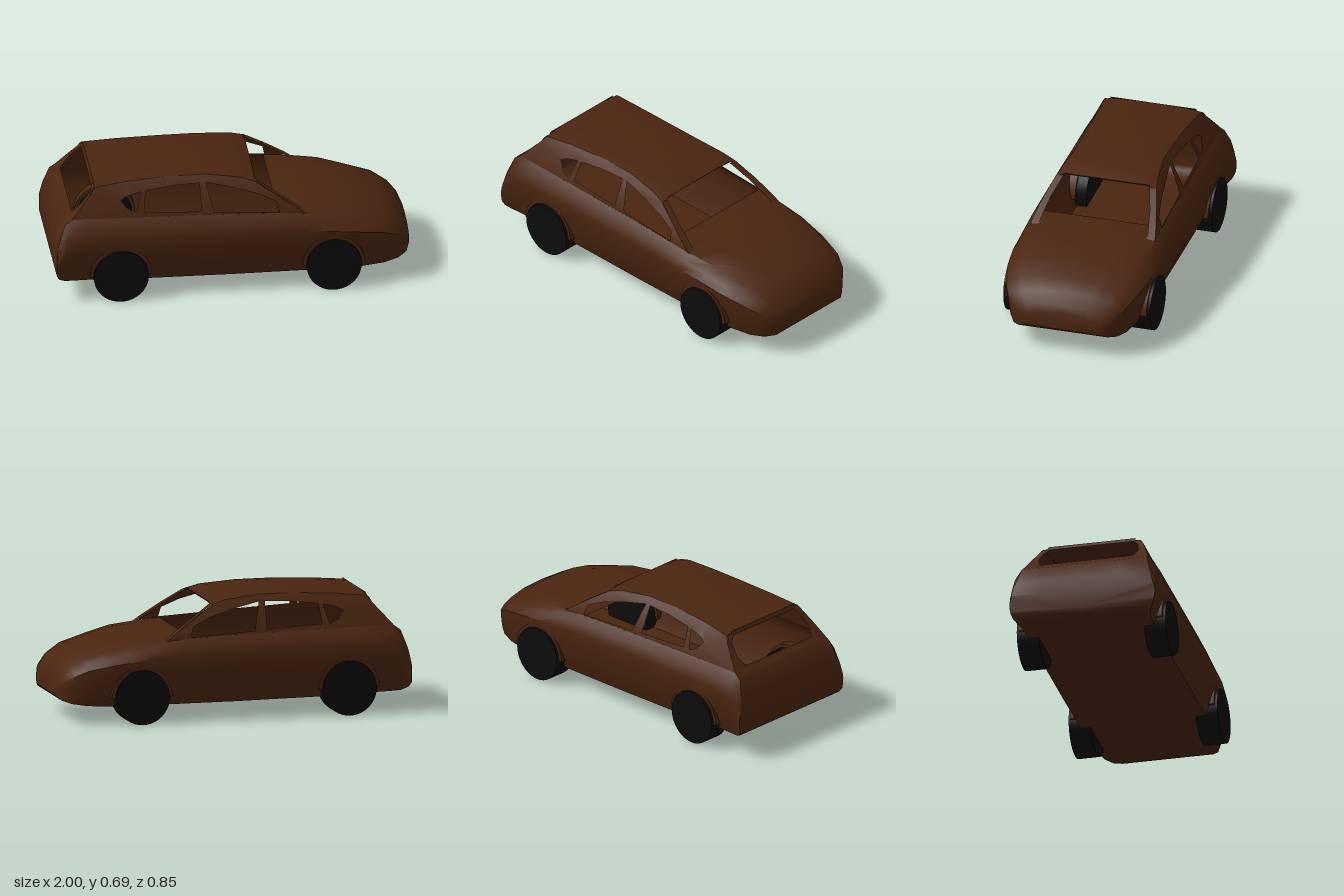
import * as THREE from 'three';
import { toCreasedNormals } from 'three/addons/utils/BufferGeometryUtils.js';

const paint = new THREE.MeshStandardMaterial({ color: 0x4a2510, side: THREE.DoubleSide });
paint.name = 'brown paint';
const rubber = new THREE.MeshStandardMaterial({ color: 0x0c0c0c });
rubber.name = 'black rubber';

// Lower body stations: x, bottom y, bottom z, widest y, widest z, belt y, belt z, centre top y
const STATIONS = [
  [-1.0, 0.17, 0.41, 0.23, 0.418, 0.28, 0.405, 0.28],
  [-0.985, 0.145, 0.4, 0.27, 0.418, 0.36, 0.385, 0.36],
  [-0.95, 0.125, 0.38, 0.33, 0.418, 0.46, 0.36, 0.46],
  [-0.91, 0.12, 0.37, 0.36, 0.418, 0.49, 0.355, 0.49],
  [-0.8, 0.115, 0.36, 0.38, 0.418, 0.49, 0.355, 0.49],
  [-0.5, 0.105, 0.36, 0.38, 0.418, 0.485, 0.356, 0.485],
  [0.0, 0.1, 0.36, 0.38, 0.418, 0.475, 0.358, 0.475],
  [0.25, 0.1, 0.36, 0.375, 0.418, 0.466, 0.36, 0.466],
  [0.4, 0.1, 0.36, 0.37, 0.418, 0.455, 0.355, 0.475],
  [0.55, 0.1, 0.36, 0.36, 0.418, 0.44, 0.34, 0.465],
  [0.7, 0.1, 0.355, 0.34, 0.405, 0.405, 0.31, 0.435],
  [0.85, 0.105, 0.33, 0.31, 0.37, 0.365, 0.28, 0.395],
  [0.93, 0.115, 0.3, 0.27, 0.33, 0.32, 0.25, 0.35],
  [0.98, 0.13, 0.26, 0.23, 0.275, 0.27, 0.21, 0.29],
  [1.0, 0.15, 0.2, 0.19, 0.22, 0.22, 0.2, 0.25],
];
const CABIN = [-0.91, 0.25]; // open top of the lower body

// Half width of the cabin sides at height y
const SIDE = [[0.45, 0.362], [0.49, 0.355], [0.55, 0.332], [0.61, 0.306], [0.655, 0.28], [0.68, 0.252]];
function sideZ(y) {
  for (let i = 1; i < SIDE.length; i++) {
    const [y0, z0] = SIDE[i - 1], [y1, z1] = SIDE[i];
    if (y <= y1) return z0 + (z1 - z0) * Math.max(0, (y - y0) / (y1 - y0));
  }
  return SIDE[SIDE.length - 1][1];
}

// Surface through rows of points, leaving out cells where skip(i, j) is true
function sheet(rows, skip = () => false, caps = false) {
  const pos = [];
  const tri = (a, b, c) => pos.push(...a, ...b, ...c);
  for (let i = 0; i < rows.length - 1; i++)
    for (let j = 0; j < rows[i].length - 1; j++) {
      if (skip(i, j)) continue;
      const a = rows[i][j], b = rows[i + 1][j], c = rows[i + 1][j + 1], d = rows[i][j + 1];
      tri(a, b, c);
      tri(a, c, d);
    }
  if (caps)
    for (const [row, front] of [[rows[0], false], [rows[rows.length - 1], true]])
      for (let j = 1; j < row.length - 1; j++)
        front ? tri(row[0], row[j + 1], row[j]) : tri(row[0], row[j], row[j + 1]);
  const g = new THREE.BufferGeometry();
  g.setAttribute('position', new THREE.Float32BufferAttribute(pos, 3));
  return toCreasedNormals(g, 0.6);
}

function add(group, name, geometry, material = paint) {
  const m = new THREE.Mesh(geometry, material);
  m.name = name;
  group.add(m);
  return m;
}

// Closed ring of one body station, from bottom centre round to bottom centre
function bodyRing([x, yb, zb, ys, zw, yt, zt, yc]) {
  const half = [
    [0, yb], [zb, yb], [zb + (zw - zb) * 0.55, yb + (ys - yb) * 0.3],
    [zb + (zw - zb) * 0.9, yb + (ys - yb) * 0.72], [zw, ys],
    [zt + (zw - zt) * 0.66, ys + (yt - ys) * 0.55], [zt, yt], [zt * 0.6, yt + (yc - yt) * 0.75], [0, yc],
  ];
  const mirrored = half.slice(0, -1).reverse().map(([z, y]) => [-z, y]);
  return [...half, ...mirrored].map(([z, y]) => [x, y, z]);
}

// Cabin side panel with three window openings, bent to the tumblehome
function sidePanel(s) {
  const v = (list) => list.map(([x, y]) => new THREE.Vector2(x, y));
  const shape = new THREE.Shape(v([
    [-0.91, 0.49], [-0.8, 0.49], [-0.5, 0.485], [0, 0.475], [0.25, 0.466], [0.4, 0.455],
    [0.37, 0.478], [0.25, 0.56], [0.13, 0.635], [0.05, 0.66], [-0.15, 0.68], [-0.35, 0.68],
    [-0.6, 0.668], [-0.775, 0.65], [-0.8, 0.615],
  ]));
  const windows = [
    [[-0.63, 0.578], [-0.6, 0.597], [-0.515, 0.617], [-0.545, 0.512], [-0.595, 0.535]],
    [[-0.49, 0.62], [-0.34, 0.638], [-0.185, 0.645], [-0.182, 0.497], [-0.5, 0.513]],
    [[-0.15, 0.645], [-0.016, 0.617], [0.145, 0.572], [0.245, 0.527], [0.257, 0.471], [-0.11, 0.492]],
  ];
  for (const w of windows) shape.holes.push(new THREE.Path(v(w)));
  const g = new THREE.ShapeGeometry(shape);
  const p = g.attributes.position;
  for (let i = 0; i < p.count; i++) p.setZ(i, s * sideZ(p.getY(i)));
  if (s < 0) g.setIndex(Array.from(g.index.array).reverse());
  return toCreasedNormals(g.toNonIndexed(), 0.6);
}

export function createModel() {
  const car = new THREE.Group();
  car.name = 'hatchback';

  // Lower body, open above the cabin
  const inCabin = (i) => STATIONS[i][0] >= CABIN[0] && STATIONS[i + 1][0] <= CABIN[1];
  add(car, 'lowerBody', sheet(STATIONS.map(bodyRing), (i, j) => inCabin(i) && j >= 6 && j <= 9, true));

  // Roof: x, edge y, centre y
  const roof = [
    [-0.775, 0.65, 0.666], [-0.6, 0.668, 0.681], [-0.35, 0.68, 0.695],
    [-0.15, 0.68, 0.695], [0.05, 0.66, 0.68], [0.13, 0.635, 0.652],
  ].map(([x, ye, yc]) => [1, 0.85, 0.5, 0, -0.5, -0.85, -1].map(
    (t) => [x, ye + (yc - ye) * (1 - t * t * t * t), sideZ(ye) * t]));
  add(car, 'roof', sheet(roof));

  // Rear window surround: x, y, inner half width
  const rear = [[-0.91, 0.49, 0.262], [-0.9, 0.502, 0.265], [-0.855, 0.553, 0.285],
    [-0.8, 0.615, 0.27], [-0.786, 0.643, 0.24], [-0.775, 0.652, 0.235]];
  // Windscreen pillars: x, y, inner half width
  const front = [[0.13, 0.637, 0.25], [0.25, 0.56, 0.288], [0.37, 0.478, 0.312], [0.4, 0.455, 0.31]];
  for (const s of [1, -1]) {
    const side = s > 0 ? 'left' : 'right';
    add(car, side + 'SidePanel', sidePanel(s));
    const strip = (list) => sheet(list.map(([x, y, z]) => [[x, y, s * sideZ(y)], [x, y, s * z]]));
    add(car, side + 'RearPillar', strip(rear));
    add(car, side + 'WindscreenPillar', strip(front));
  }
  const bar = (a, b) => sheet([a, b].map(([x, y, z]) => [[x, y, z], [x, y, 0], [x, y, -z]]));
  add(car, 'rearWindowSill', bar(rear[0], rear[1]));
  add(car, 'spoiler', bar([-0.786, 0.643, 0.25], [-0.775, 0.666, 0.25]));
  add(car, 'windscreenHeader', bar([0.13, 0.652, 0.25], [0.12, 0.64, 0.25]));

  // Wheels and arch lips
  for (const [x, end] of [[0.555, 'front'], [-0.64, 'rear']])
    for (const s of [1, -1]) {
      const side = s > 0 ? 'Left' : 'Right';
      const tyre = new THREE.CylinderGeometry(0.154, 0.154, 0.125, 40).rotateX(Math.PI / 2);
      add(car, end + side + 'Wheel', tyre, rubber).position.set(x, 0.154, s * 0.3645);
      const lip = new THREE.Shape();
      lip.absarc(0, 0, 0.174, 0, Math.PI, false);
      lip.absarc(0, 0, 0.155, Math.PI, 0, true);
      const arch = new THREE.ExtrudeGeometry(lip, { depth: 0.05, bevelEnabled: false, curveSegments: 20 });
      add(car, end + side + 'Arch', arch).position.set(x, 0.154, s > 0 ? 0.362 : -0.412);
    }
  return car;
}
